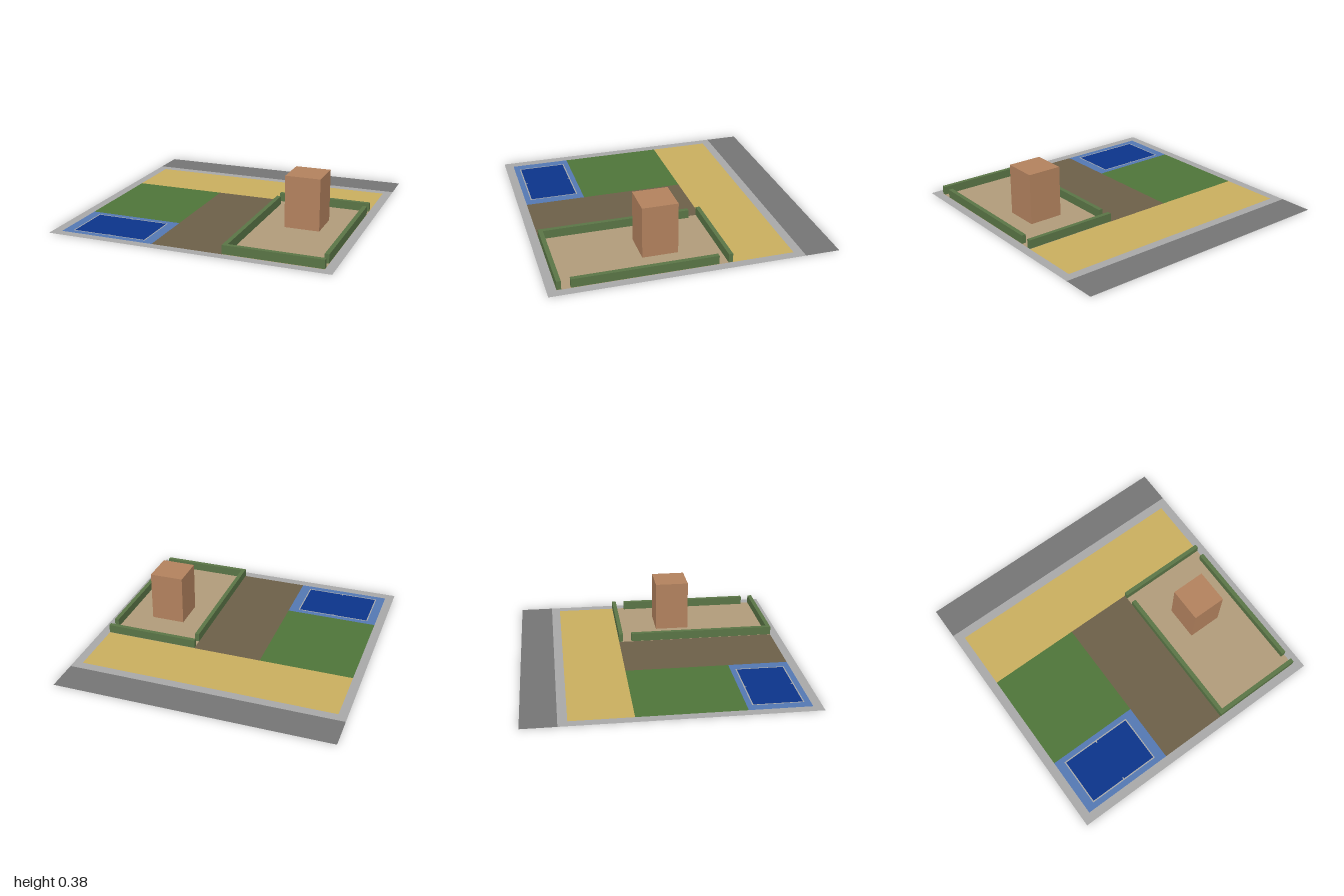
import * as THREE from 'three';

const mat = (name, color, side = THREE.FrontSide) => {
  const m = new THREE.MeshStandardMaterial({ color, side });
  m.name = name;
  return m;
};

// Corner loop of a rectangle on the ground, given as [x0, x1, z0, z1]
const corners = ([x0, x1, z0, z1]) =>
  [[x0, z0], [x0, z1], [x1, z1], [x1, z0]].map(([x, z]) => new THREE.Vector2(x, -z));

export function createModel() {
  const group = new THREE.Group();
  const both = THREE.DoubleSide;
  const paving = mat('paving grey', 0xa8a8a8, both);
  const asphalt = mat('asphalt grey', 0x757575, both);
  const sand = mat('sand yellow', 0xc9ae5f, both);
  const grass = mat('grass green', 0x4f7539, both);
  const earth = mat('earth brown', 0x6c6048, both);
  const courtEdge = mat('court light blue', 0x5478b3, both);
  const courtBlue = mat('court dark blue', 0x0b348a, both);
  const yardTan = mat('yard tan', 0xb19b7a, both);
  const brick = mat('brick', 0xb3825e);
  const hedgeGreen = mat('hedge green', 0x5a7546);

  // Flat ground area with an optional rectangular opening
  const area = (name, material, rect, hole) => {
    const shape = new THREE.Shape(corners(rect));
    if (hole) shape.holes.push(new THREE.Path(corners(hole).reverse()));
    const mesh = new THREE.Mesh(new THREE.ShapeGeometry(shape).rotateX(-Math.PI / 2), material);
    mesh.name = name;
    group.add(mesh);
    return mesh;
  };

  // Upright block standing just above the ground
  const block = (name, material, [x0, x1, z0, z1], top) => {
    const base = 0.002;
    const mesh = new THREE.Mesh(new THREE.BoxGeometry(x1 - x0, top - base, z1 - z0), material);
    mesh.position.set((x0 + x1) / 2, (top + base) / 2, (z0 + z1) / 2);
    mesh.name = name;
    group.add(mesh);
  };

  // Road and the pavement around the plots
  area('road', asphalt, [-1, 1, -1, -0.755]);
  area('pavement', paving, [-1, 1, -0.755, 1], [-0.936, 0.936, -0.69, 0.936]);

  // Plots laid side by side
  area('sandStrip', sand, [-0.936, 0.936, -0.69, -0.252]);
  area('lawn', grass, [-0.936, -0.252, -0.252, 0.5]);
  area('earthPath', earth, [-0.252, 0.252, -0.252, 0.936]);
  area('yard', yardTan, [0.252, 0.936, -0.252, 0.936]);

  // Ball court with its boundary line and centre marks
  const outer = [-0.872, -0.323, 0.538, 0.895];
  const inner = [-0.863, -0.332, 0.547, 0.886];
  area('courtSurround', courtEdge, [-0.936, -0.252, 0.5, 0.936], outer);
  area('courtLine', paving, outer, inner);
  area('court', courtBlue, inner);
  for (const z of [0.547, 0.874]) {
    area('centreMark', paving, [-0.602, -0.593, z, z + 0.012]).position.y = 0.001;
  }

  // Hedges round the yard, with gaps at two corners
  block('backHedge', hedgeGreen, [0.25, 0.936, -0.252, -0.222], 0.064);
  block('frontHedge', hedgeGreen, [0.25, 0.936, 0.905, 0.936], 0.064);
  block('rightHedge', hedgeGreen, [0.25, 0.281, -0.157, 0.905], 0.064);
  block('leftHedge', hedgeGreen, [0.905, 0.936, -0.157, 0.842], 0.064);

  // Building
  block('building', brick, [0.465, 0.716, 0.06, 0.312], 0.375);

  return group;
}
